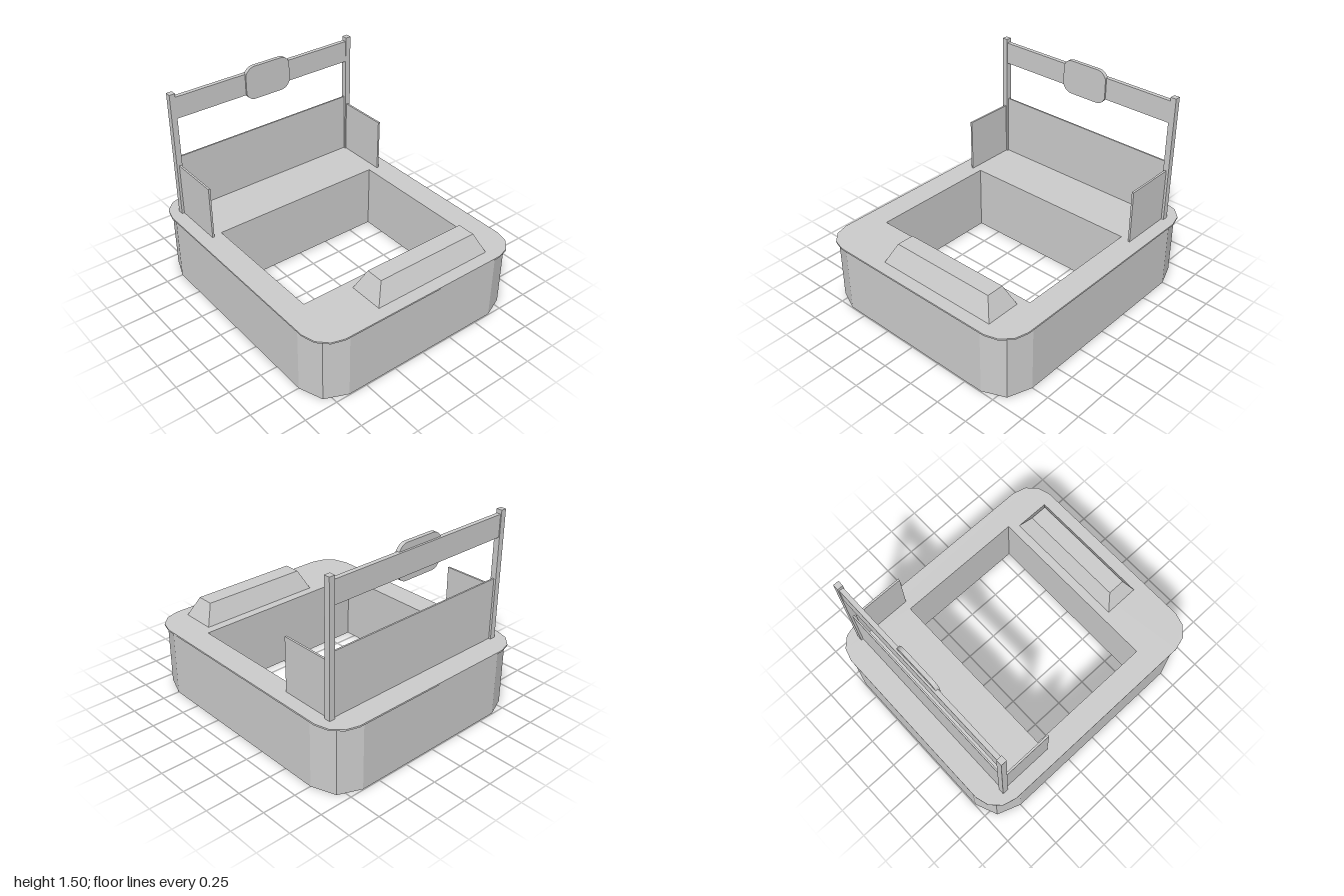
import * as THREE from 'three';

const mat = new THREE.MeshStandardMaterial({ color: 0xcccccc, flatShading: true });

function add(group, name, geo, x = 0, y = 0, z = 0) {
  const m = new THREE.Mesh(geo, mat);
  m.name = name;
  m.position.set(x, y, z);
  group.add(m);
  return m;
}

// Box given by its min/max corners
function box(group, name, x0, x1, y0, y1, z0, z1) {
  return add(group, name, new THREE.BoxGeometry(x1 - x0, y1 - y0, z1 - z0),
    (x0 + x1) / 2, (y0 + y1) / 2, (z0 + z1) / 2);
}

// Flat ring: faceted-corner outline (one corner mirrored four ways) with a rectangular opening
function ring(corner, y0, y1) {
  const rev = [...corner].reverse();
  const outline = [
    ...corner,
    ...rev.map(([x, z]) => [-x, z]),
    ...corner.map(([x, z]) => [-x, -z]),
    ...rev.map(([x, z]) => [x, -z]),
  ];
  const shape = new THREE.Shape(outline.map(([x, z]) => new THREE.Vector2(x, z)));
  const hole = [[-0.69, -0.575], [-0.69, 0.42], [0.69, 0.42], [0.69, -0.575]];
  shape.holes.push(new THREE.Path(hole.map(([x, y]) => new THREE.Vector2(x, y))));
  const geo = new THREE.ExtrudeGeometry(shape, { depth: y1 - y0, bevelEnabled: false });
  return geo.rotateX(-Math.PI / 2).translate(0, y0, 0);
}

export function createModel() {
  const g = new THREE.Group();
  g.name = 'counterStall';

  // Hollow counter base and its thin overhanging top
  add(g, 'counterBody', ring([[0.87, 0.75], [0.805, 0.925], [0.64, 0.995]], 0, 0.495));
  add(g, 'counterTop', ring([[0.875, 0.8], [0.847, 0.9], [0.775, 0.972], [0.68, 1]], 0.495, 0.507));

  // Tapered display block on the front of the counter
  const block = new THREE.BoxGeometry(1, 1, 1);
  const p = block.attributes.position;
  for (let i = 0; i < p.count; i++) {
    const top = p.getY(i) > 0;
    const [x0, x1, z0, z1] = top ? [-0.262, 0.568, 0.705, 0.837] : [-0.335, 0.64, 0.64, 0.908];
    p.setXYZ(i, p.getX(i) < 0 ? x0 : x1, top ? 0.655 : 0.505, p.getZ(i) < 0 ? z0 : z1);
  }
  block.computeVertexNormals();
  add(g, 'displayBlock', block);

  // Posts and side screens, mirrored
  for (const [side, s] of [['left', 1], ['right', -1]]) {
    const post = new THREE.BoxGeometry(0.044, 0.98, 0.044);
    add(g, side + 'Post', post, s * 0.768, 0.995, -0.822);
    const screen = new THREE.BoxGeometry(0.015, 0.41, 0.4);
    add(g, side + 'Screen', screen, s * 0.764, 0.71, -0.605);
  }

  // Back panel and overhead rail between the posts
  box(g, 'backPanel', -0.747, 0.747, 0.505, 0.977, -0.828, -0.816);
  box(g, 'overheadRail', -0.747, 0.747, 1.288, 1.455, -0.837, -0.804);

  // Rounded sign board on the rail
  const w = 0.19, h = 0.13, rx = 0.075, ry = 0.055;
  const sign = new THREE.Shape();
  sign.moveTo(-w + rx, -h);
  sign.lineTo(w - rx, -h);
  sign.quadraticCurveTo(w - rx / 3, -h, w, -h + ry);
  sign.lineTo(w, h - ry);
  sign.quadraticCurveTo(w - rx / 3, h, w - rx, h);
  sign.lineTo(-w + rx, h);
  sign.quadraticCurveTo(-w + rx / 3, h, -w, h - ry);
  sign.lineTo(-w, -h + ry);
  sign.quadraticCurveTo(-w + rx / 3, -h, -w + rx, -h);
  const signGeo = new THREE.ExtrudeGeometry(sign, { depth: 0.03, bevelEnabled: false, curveSegments: 6 });
  add(g, 'signBoard', signGeo, 0.015, 1.372, -0.822);

  return g;
}
